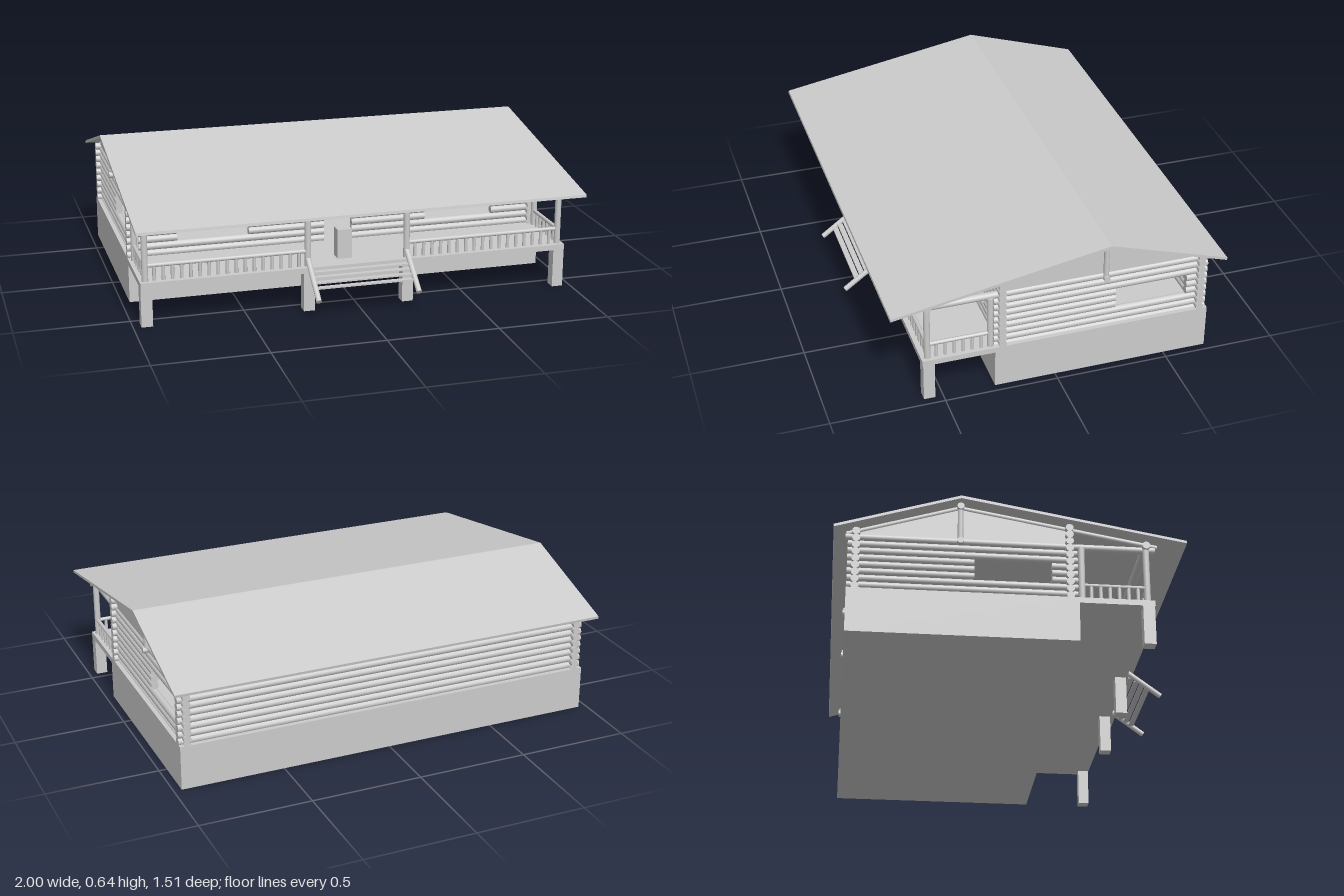
import * as THREE from 'three';

const grey = new THREE.MeshStandardMaterial({ color: 0xcccccc, side: THREE.DoubleSide });
const UP = new THREE.Vector3(0, 1, 0);

export function createModel() {
  const root = new THREE.Group();
  root.name = 'logCabin';

  const add = (name, geometry) => {
    const mesh = new THREE.Mesh(geometry, grey);
    mesh.name = name;
    root.add(mesh);
    return mesh;
  };
  // Box given by its limits on each axis
  const box = (name, x0, x1, y0, y1, z0, z1) =>
    add(name, new THREE.BoxGeometry(x1 - x0, y1 - y0, z1 - z0))
      .position.set((x0 + x1) / 2, (y0 + y1) / 2, (z0 + z1) / 2);
  // Round log between two points
  const log = (name, a, b, r = 0.017, sides = 14) => {
    const p = new THREE.Vector3(...a), q = new THREE.Vector3(...b);
    const mesh = add(name, new THREE.CylinderGeometry(r, r, p.distanceTo(q), sides));
    mesh.position.copy(p).add(q).multiplyScalar(0.5);
    mesh.quaternion.setFromUnitVectors(UP, q.sub(p).normalize());
  };
  // Pieces of a run left over after cutting openings [from, to, bottom, top]
  const pieces = (from, to, y, openings) => {
    const out = [];
    let start = from;
    for (const [a, b, low, high] of openings) {
      if (y < low || y > high) continue;
      out.push([start, a]);
      start = b;
    }
    out.push([start, to]);
    return out;
  };
  // Profile in (z, y), extruded along x
  const prism = (name, points, x0, x1) => {
    const shape = new THREE.Shape(points.map(([z, y]) => new THREE.Vector2(-z, y)));
    const geometry = new THREE.ExtrudeGeometry(shape, { depth: x1 - x0, bevelEnabled: false });
    geometry.rotateY(Math.PI / 2).translate(x0, 0, 0);
    add(name, geometry);
  };

  // Foundation, porch deck and deck piers
  box('foundation', -0.965, 0.965, 0, 0.2, -0.695, 0.27);
  box('porchDeck', -0.965, 0.965, 0.175, 0.2, 0.27, 0.588);
  for (const x of [-0.94, -0.225, 0.225, 0.94])
    box('deckPier', x - 0.025, x + 0.025, 0, 0.175, 0.535, 0.585);

  // Front and back log walls
  const pitch = 0.032;
  const frontOpenings = [
    [-0.74, -0.415, 0.26, 0.36],
    [-0.065, 0.065, 0.2, 0.33],
    [0.415, 0.74, 0.26, 0.36],
  ];
  for (let i = 0; i < 11; i++) {
    const y = 0.21 + i * pitch;
    for (const [a, b] of pieces(-0.965, 0.965, y, frontOpenings))
      log('frontWallLog', [a, y, 0.235], [b, y, 0.235]);
    if (i < 9) log('backWallLog', [-0.965, y, -0.66], [0.965, y, -0.66]);
  }

  // Side log walls, set half a log lower, each with one window
  for (const side of [-1, 1]) {
    const x = side * 0.93;
    const window = side > 0 ? [-0.6, -0.275, 0.26, 0.375] : [-0.165, 0.16, 0.26, 0.375];
    for (let i = 0; i < 8; i++) {
      const y = 0.194 + i * pitch;
      for (const [a, b] of pieces(-0.694, 0.269, y, [window]))
        log('sideWallLog', [x, y, a], [x, y, b]);
    }
    // Gable infill and king post
    prism('gablePanel', [[0.235, 0.44], [0.235, 0.535], [-0.225, 0.615], [-0.66, 0.475], [-0.66, 0.44]],
      x - 0.008, x + 0.008);
    log('kingPost', [side * 0.945, 0.445, -0.225], [side * 0.945, 0.61, -0.225], 0.012);
  }

  // Tie beams and rafters
  for (const x of [-0.93, -0.225, 0.225, 0.93]) {
    log('tieBeam', [x, 0.45, 0.6], [x, 0.45, -0.705], 0.016);
    log('frontRafter', [x, 0.466, 0.61], [x, 0.612, -0.225], 0.012);
    log('backRafter', [x, 0.464, -0.7], [x, 0.612, -0.225], 0.012);
  }

  // Long beams under the roof
  log('porchPurlin', [-0.965, 0.462, 0.56], [0.965, 0.462, 0.56]);
  log('ridgePurlin', [-0.965, 0.61, -0.225], [0.965, 0.61, -0.225], 0.015);
  log('middleBeam', [-0.965, 0.445, -0.225], [0.965, 0.445, -0.225], 0.014);

  // Roof slab
  prism('roof', [
    [0.725, 0.472], [-0.225, 0.638], [-0.755, 0.472],
    [-0.753, 0.46], [-0.225, 0.625], [0.727, 0.46],
  ], -1, 1);

  // Porch posts, railings and stair, mirrored left and right
  for (const side of [-1, 1]) {
    const outer = side * 0.94, inner = side * 0.225;
    for (const x of [outer, inner]) log('porchPost', [x, 0.2, 0.56], [x, 0.455, 0.56], 0.014);
    log('wallPost', [outer, 0.2, 0.285], [outer, 0.445, 0.285], 0.014);

    log('frontRail', [inner, 0.268, 0.56], [outer, 0.268, 0.56], 0.009, 8);
    log('sideRail', [outer, 0.268, 0.285], [outer, 0.268, 0.56], 0.009, 8);
    for (let i = 1; i < 18; i++) {
      const x = inner + (outer - inner) * i / 18;
      log('frontBaluster', [x, 0.2, 0.56], [x, 0.265, 0.56], 0.008, 8);
    }
    for (let i = 1; i < 7; i++) {
      const z = 0.285 + 0.275 * i / 7;
      log('sideBaluster', [outer, 0.2, z], [outer, 0.265, z], 0.008, 8);
    }
    log('stairStringer', [inner, 0.235, 0.562], [inner, 0.1, 0.745], 0.012);
  }

  // Stair treads
  for (let i = 0; i < 4; i++) {
    const z = 0.615 + i * 0.024, y = 0.188 - i * 0.0155;
    box('stairTread', -0.22, 0.22, y - 0.004, y + 0.003, z - 0.012, z + 0.012);
  }

  // Upright block on the porch beside the door
  box('porchBlock', -0.075, -0.01, 0.2, 0.333, 0.447, 0.507);

  return root;
}
